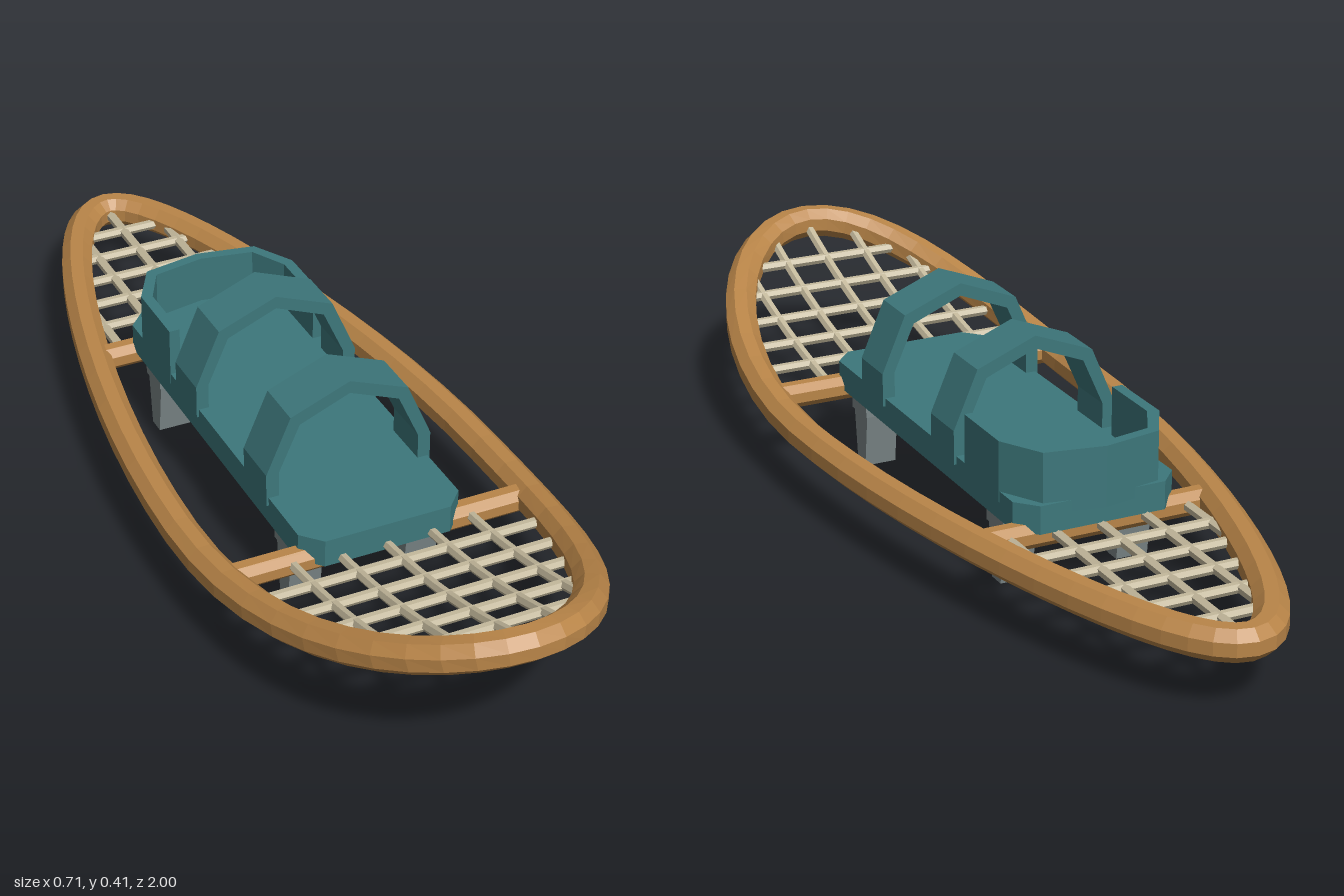
import * as THREE from 'three';
import { ParametricGeometry } from 'three/addons/geometries/ParametricGeometry.js';

const LENGTH = 0.967; // half length of the frame centreline

// Egg-shaped outline: half width at z, and the height of the upturned toe
const halfWidth = z => 0.3125 * (1 + 0.3 * z) * Math.sqrt(Math.max(0, 1 - (z / LENGTH) ** 2));
const height = z => 0.132 + (z > 0.2 ? 0.29 * (z - 0.2) ** 2 : 0);

export function createModel() {
  const group = new THREE.Group();
  const material = (name, color) => {
    const m = new THREE.MeshStandardMaterial({ color, flatShading: true });
    m.name = name;
    return m;
  };
  const wood = material('wood', 0xb98548);
  const teal = material('teal', 0x3d777b);
  const cord = material('cord', 0xc4b99c);
  const steel = material('steel', 0x7b8687);

  const add = (name, geometry, mat, parent = group) => {
    const mesh = new THREE.Mesh(geometry, mat);
    mesh.name = name;
    parent.add(mesh);
    return mesh;
  };
  const part = name => {
    const g = new THREE.Group();
    g.name = name;
    group.add(g);
    return g;
  };
  const shapeOf = points => new THREE.Shape(points.map(p => new THREE.Vector2(...p)));
  const extrude = (points, depth) =>
    new THREE.ExtrudeGeometry(shapeOf(points), { depth, bevelEnabled: false });
  // Slab drawn in plan as [x, z] and raised from y0 to y1
  const slab = (points, y0, y1) =>
    extrude(points.map(([x, z]) => [x, -z]), y1 - y0).rotateX(-Math.PI / 2).translate(0, y0, 0);
  // Mirror a half outline, listed from the +x side to the middle
  const mirrored = half =>
    [...half, ...half.filter(p => p[0] > 0).reverse().map(([x, y]) => [-x, y])];

  // Bent wooden frame: octagonal section swept round the outline
  const centre = t => {
    const z = -LENGTH * Math.cos(t);
    return new THREE.Vector3(0.3125 * (1 + 0.3 * z) * Math.sin(t), height(z), z);
  };
  const up = new THREE.Vector3(0, 1, 0);
  const sweep = (u, v, target) => {
    const t = u * Math.PI * 2;
    const a = (v + 1 / 16) * Math.PI * 2;
    const tangent = centre(t + 0.001).sub(centre(t - 0.001)).normalize();
    const n = tangent.clone().cross(up).normalize();
    const b = n.clone().cross(tangent);
    target.copy(centre(t))
      .addScaledVector(n, 0.0345 * Math.cos(a))
      .addScaledVector(b, 0.0345 * Math.sin(a));
  };
  add('frame', new ParametricGeometry(sweep, 56, 8), wood);

  // Wooden crossbars
  for (const [name, z] of [['frontCrossbar', 0.395], ['rearCrossbar', -0.408]]) {
    const bar = new THREE.CylinderGeometry(0.027, 0.027, 2 * halfWidth(z), 8);
    bar.rotateY(Math.PI / 8).rotateZ(Math.PI / 2);
    add(name, bar, wood).position.set(0, height(z) - 0.002, z);
  }

  // Cord lacing at the toe and tail
  const lacing = part('lacing');
  const lace = points => add('cord',
    new THREE.TubeGeometry(new THREE.CatmullRomCurve3(points), points.length > 2 ? 10 : 1, 0.0105, 6),
    cord, lacing);
  for (const [side, start] of [[1, 0.5], [-1, 0.515]]) {
    for (let i = 0; i < 5; i++) {
      const z = side * (start + i * 0.087);
      const w = halfWidth(z);
      lace([new THREE.Vector3(-w, height(z), z), new THREE.Vector3(w, height(z), z)]);
    }
    for (const x of [-0.185, -0.093, 0, 0.093, 0.185]) {
      let end = 0.4;
      while (end < LENGTH - 0.01 && halfWidth(side * end) > Math.abs(x)) end += 0.005;
      const points = [];
      for (let i = 0; i <= 6; i++) {
        const z = side * (0.4 + (end - 0.4) * i / 6);
        points.push(new THREE.Vector3(x, height(z), z));
      }
      lace(points);
    }
  }

  // Foot plate with clipped corners
  add('footPlate', slab([
    [0.13, 0.435], [0.167, 0.395], [0.167, -0.4], [0.13, -0.44],
    [-0.13, -0.44], [-0.167, -0.4], [-0.167, 0.395], [-0.13, 0.435],
  ], 0.14, 0.197), teal);

  // Heel cup: faceted U-shaped wall open to the front
  const cupOuter = mirrored([[0.168, -0.2], [0.168, -0.345], [0.12, -0.43], [0, -0.452]]);
  const cupInner = mirrored([[0.146, -0.2], [0.146, -0.337], [0.107, -0.41], [0, -0.43]]);
  add('heelCup', slab([...cupOuter, ...cupInner.reverse()], 0.175, 0.297), teal);

  // Two binding straps arched over the foot
  const strapOuter = mirrored([[0.172, 0.18], [0.172, 0.249], [0.122, 0.365], [0, 0.413]]);
  const strapInner = mirrored([[0.146, 0.18], [0.146, 0.249], [0.103, 0.345], [0, 0.387]]);
  const strap = extrude([...strapOuter, ...strapInner.reverse()], 0.102);
  add('toeStrap', strap, teal).position.z = 0.165;
  add('ankleStrap', strap, teal).position.z = -0.162;

  // Steel cleats: a bar under the plate with two tapered teeth
  const tooth = extrude([[-0.033, 0.125], [-0.018, 0], [0.018, 0], [0.033, 0.125]], 0.067)
    .translate(0, 0, -0.0335).rotateY(Math.PI / 2);
  for (const [name, z] of [['frontCleat', 0.312], ['rearCleat', -0.312]]) {
    const cleat = part(name);
    cleat.position.z = z;
    add('cleatBar', new THREE.BoxGeometry(0.32, 0.03, 0.07), steel, cleat).position.y = 0.127;
    for (const x of [-0.123, 0.123]) add('tooth', tooth, steel, cleat).position.x = x;
  }
  return group;
}
